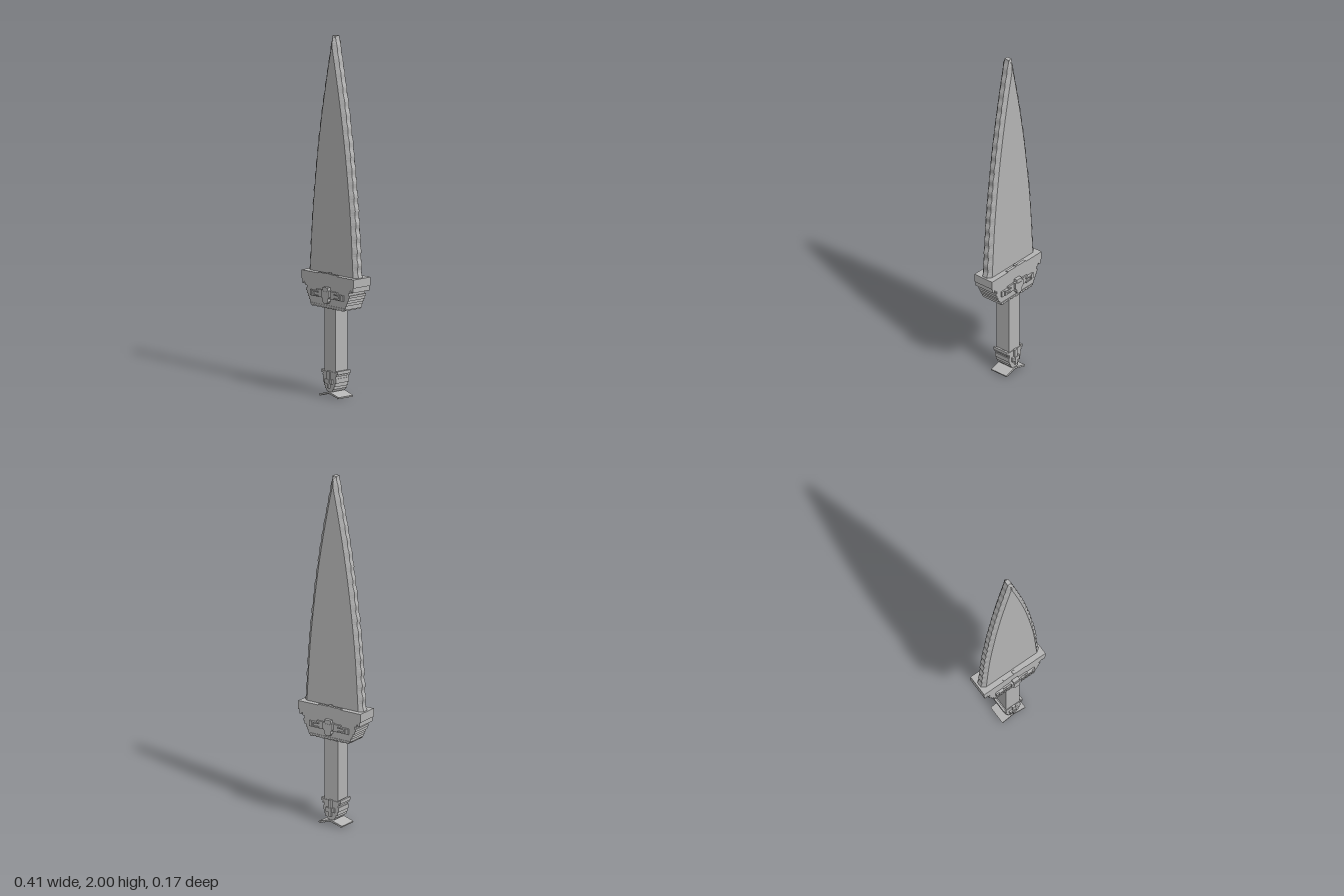
import * as THREE from 'three';

const steel = new THREE.MeshStandardMaterial({ color: 0xb4b4b4 });
steel.name = 'grey steel';

export function createModel() {
  const root = new THREE.Group();
  root.name = 'dagger';

  const add = (name, geo, x = 0, y = 0, z = 0, parent = root) => {
    const m = new THREE.Mesh(geo, steel);
    m.name = name;
    m.position.set(x, y, z);
    parent.add(m);
    return m;
  };
  // Box given by its centre x, bottom and top y, centre z
  const box = (name, w, y0, y1, d, x = 0, z = 0, parent = root) =>
    add(name, new THREE.BoxGeometry(w, y1 - y0, d), x, (y0 + y1) / 2, z, parent);
  // Symmetric outline (right half, bottom to top) extruded about z
  const slab = (name, half, depth, z = 0, parent = root) => {
    const pts = [...half, ...half.map(([x, y]) => [-x, y]).reverse()];
    const shape = new THREE.Shape(pts.map(([x, y]) => new THREE.Vector2(x, y)));
    const geo = new THREE.ExtrudeGeometry(shape, { depth, bevelEnabled: false });
    geo.translate(0, 0, -depth / 2);
    return add(name, geo, 0, 0, z, parent);
  };

  add('blade', bladeGeometry());

  // Guard: top bar and stepped body
  box('guardBar', 0.412, 0.632, 0.68, 0.128);
  slab('guardBody', [
    [0.125, 0.508], [0.14, 0.508], [0.14, 0.525], [0.15, 0.525], [0.15, 0.54],
    [0.157, 0.54], [0.157, 0.555], [0.165, 0.555], [0.165, 0.572], [0.172, 0.572],
    [0.172, 0.585], [0.165, 0.585], [0.165, 0.6], [0.178, 0.6], [0.178, 0.615],
    [0.185, 0.615], [0.185, 0.633]], 0.124);
  for (const s of [-1, 1]) {
    box('guardHook', 0.02, 0.618, 0.633, 0.124, s * 0.19);
    box('guardHookTip', 0.014, 0.606, 0.62, 0.124, s * 0.193);
  }

  // Ribs running front to back beneath the guard
  for (let i = -6; i <= 6; i++) {
    const y = 0.494 + 0.002 * Math.abs(i % 2);
    box('guardRib', 0.013, y, y + 0.009, 0.13, i * 0.02);
  }
  box('guardFoot', 0.27, 0.501, 0.51, 0.13);

  // Relief on both faces of the guard
  for (const s of [-1, 1]) {
    const relief = new THREE.Group();
    relief.name = s > 0 ? 'frontRelief' : 'backRelief';
    relief.rotation.y = s > 0 ? 0 : Math.PI;
    root.add(relief);
    slab('reliefPlate', [[0.045, 0.55], [0.13, 0.55], [0.13, 0.582], [0.08, 0.582],
      [0.08, 0.592], [0.035, 0.592]], 0.012, 0.065, relief);
    slab('crestShield', [[0.012, 0.522], [0.022, 0.535], [0.022, 0.55], [0.032, 0.56],
      [0.032, 0.595], [0.02, 0.595], [0.02, 0.612], [0.01, 0.612]], 0.024, 0.071, relief);
    box('crestRidge', 0.036, 0.55, 0.59, 0.006, 0, 0.082, relief);
    for (const e of [-1, 1]) {
      box('reliefBrow', 0.048, 0.575, 0.582, 0.014, e * 0.086, 0.071, relief);
      box('reliefBase', 0.048, 0.553, 0.56, 0.014, e * 0.086, 0.071, relief);
      box('reliefEnd', 0.01, 0.553, 0.582, 0.014, e * 0.105, 0.071, relief);
    }
    // Small raised trim where the blade meets the guard
    box('bladeSeat', 0.15, 0.675, 0.685, 0.016, 0, 0.056, relief);
    box('bladeSeatKey', 0.016, 0.675, 0.69, 0.022, 0, 0.053, relief);
  }

  // Grip
  box('grip', 0.09, 0.08, 0.51, 0.09);

  // Pommel with stepped sides
  slab('pommel', [[0.02, 0.03], [0.028, 0.045], [0.035, 0.045], [0.035, 0.06],
    [0.043, 0.06], [0.043, 0.08], [0.05, 0.08], [0.05, 0.105], [0.046, 0.105],
    [0.046, 0.125], [0.052, 0.125], [0.052, 0.14], [0.046, 0.14]], 0.098);
  for (const s of [-1, 1]) {
    box('pommelHook', 0.012, 0.13, 0.148, 0.098, s * 0.057);
    box('pommelBarb', 0.008, 0.118, 0.126, 0.098, s * 0.052);
    slab('pommelCross', [[0.008, 0.05], [0.008, 0.075], [0.028, 0.075], [0.028, 0.1],
      [0.01, 0.1], [0.01, 0.145]], 0.014, s * 0.053);
    box('pommelBoss', 0.024, 0.08, 0.1, 0.006, 0, s * 0.06);
    // Splayed foot with ribs beneath
    const foot = new THREE.Group();
    foot.name = 'pommelFoot';
    foot.position.set(0, 0.031, 0);
    foot.rotation.z = -s * 0.29;
    root.add(foot);
    box('footPlate', 0.082, -0.008, 0, 0.11, s * 0.04, 0, foot);
    for (let i = 0; i < 5; i++)
      box('footRib', 0.008, -0.011, -0.007, 0.11, s * (0.01 + i * 0.016), 0, foot);
  }
  return root;
}

// Eight-sided cross-sections with a gently rippled cutting edge
function bladeGeometry() {
  const profile = new THREE.CatmullRomCurve3([
    [0.192, 0.66], [0.17, 1.0], [0.149, 1.2], [0.123, 1.4], [0.091, 1.6],
    [0.053, 1.8], [0.028, 1.92], [0.012, 2.0]].map(([x, y]) => new THREE.Vector3(x, y, 0)));
  const rows = 108, pos = [], index = [];
  for (let r = 0; r <= rows; r++) {
    const p = profile.getPointAt(r / rows);
    const tip = Math.max(0, (p.y - 1.965) / 0.035);
    const ripple = 0.004 * Math.sin((r / rows) * 18 * Math.PI * 2) * (1 - r / rows * 0.6);
    const outer = p.x + (r < rows ? ripple : 0);
    const inner = Math.max(0.003, p.x - 0.021);
    const zf = 0.033 - 0.018 * tip, zr = 0.015;
    for (const [x, z] of [[-inner, zf], [inner, zf], [outer, zr], [outer, -zr],
      [inner, -zf], [-inner, -zf], [-outer, -zr], [-outer, zr]]) pos.push(x, p.y, z);
  }
  for (let r = 0; r < rows; r++)
    for (let i = 0; i < 8; i++) {
      const a = r * 8 + i, b = r * 8 + (i + 1) % 8;
      index.push(a, b, b + 8, a, b + 8, a + 8);
    }
  for (let i = 1; i < 7; i++) {
    index.push(rows * 8, rows * 8 + i, rows * 8 + i + 1);
    index.push(0, i + 1, i);
  }
  const geo = new THREE.BufferGeometry();
  geo.setAttribute('position', new THREE.Float32BufferAttribute(pos, 3));
  geo.setIndex(index);
  const flat = geo.toNonIndexed();
  flat.computeVertexNormals();
  return flat;
}
